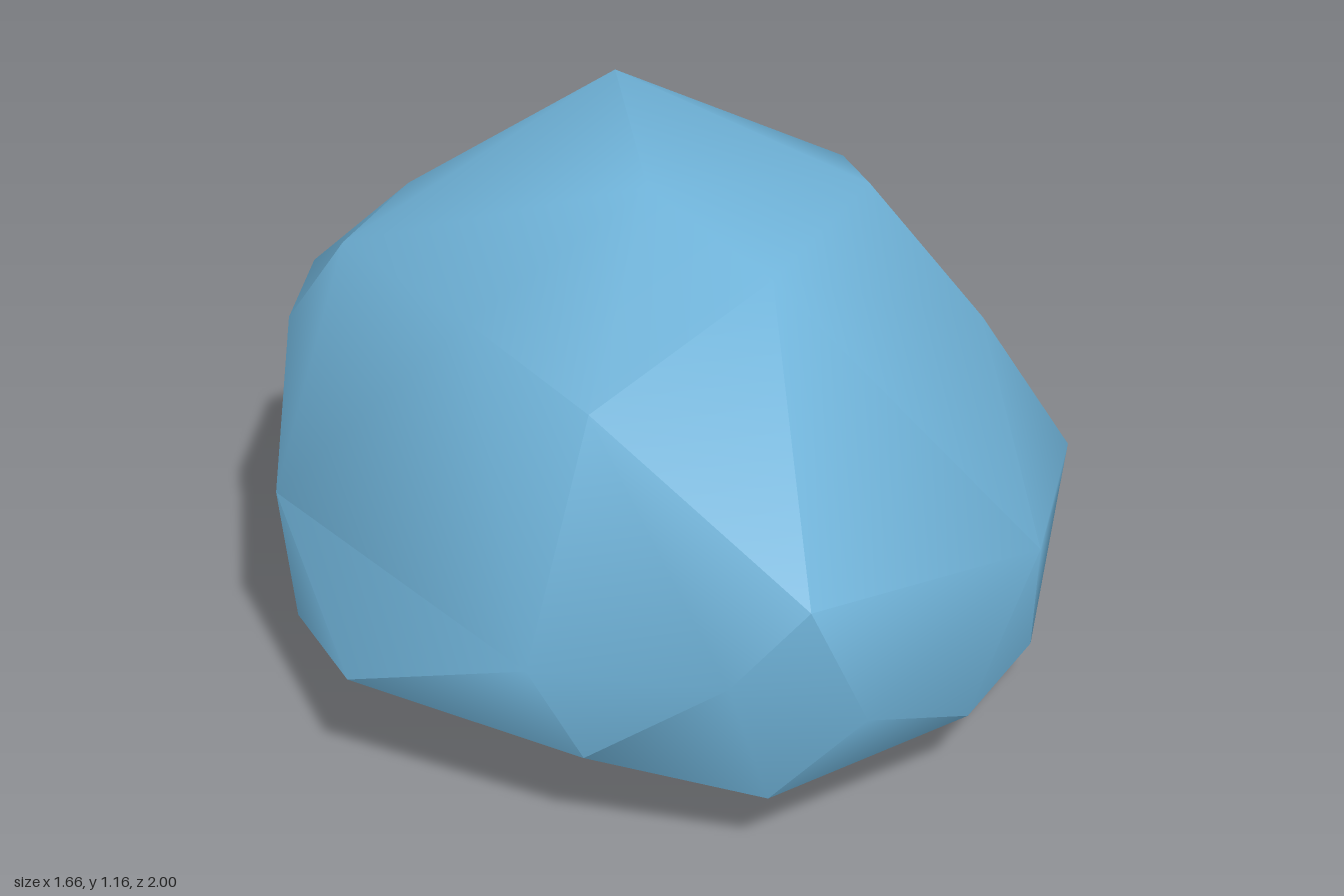
import * as THREE from 'three';
import { toCreasedNormals } from 'three/addons/utils/BufferGeometryUtils.js';
import { ConvexGeometry } from 'three/addons/geometries/ConvexGeometry.js';

// Corners of the boulder, grouped by height
const corners = {
  crown: [[-0.1, 1.165, 0.2], [0.02, 1.145, -0.42], [0.06, 1.08, 0.5]],
  shoulder: [[0.49, 0.95, -0.11], [0.56, 0.85, -0.46], [0.64, 0.75, 0.18], [-0.64, 0.95, -0.17],
    [-0.49, 0.955, 0.26], [-0.35, 0.92, 0.63], [-0.42, 0.9, -0.51], [-0.72, 0.68, -0.39],
    [-0.59, 0.63, -0.74], [0.14, 0.69, -0.97]],
  girth: [[-0.03, 0.64, 1.0], [-0.17, 0.46, 0.94], [-0.5, 0.41, 0.69], [-0.83, 0.45, -0.06],
    [-0.15, 0.42, -1.0], [0.47, 0.56, -0.78], [0.72, 0.36, -0.31], [0.83, 0.31, 0.2],
    [0.83, 0.44, 0.23], [0.57, 0.49, 0.69], [0.11, 0.34, 0.95]],
  foot: [[-0.79, 0.26, 0.39], [-0.4, 0.22, 0.74], [-0.07, 0.155, 0.89], [0.4, 0.17, 0.76],
    [0.67, 0.1, 0.45], [0.19, 0.16, -0.56], [-0.44, 0.25, -0.94], [-0.71, 0.09, -0.66],
    [-0.775, 0.06, -0.19]],
  base: [[0.2, 0, -0.03], [-0.34, 0.01, 0.24], [0, 0.06, 0.55], [0.02, 0.06, -0.44],
    [-0.44, 0.065, -0.5], [0.6, 0.085, 0.14]],
};

// Skins the corners as seen from the middle, so hollows between them are kept
function skin(points) {
  const middle = new THREE.Vector3(0, 0.5, 0);
  const radii = new THREE.Vector3(0.83, 0.58, 1);
  const directions = points.map((p) => p.clone().sub(middle).divide(radii).normalize());
  const geometry = new ConvexGeometry(directions);
  const position = geometry.attributes.position;
  const v = new THREE.Vector3();
  for (let i = 0; i < position.count; i++) {
    v.fromBufferAttribute(position, i);
    const corner = points[directions.findIndex((d) => d.distanceTo(v) < 1e-4)];
    position.setXYZ(i, corner.x, corner.y, corner.z);
  }
  return geometry;
}

export function createModel() {
  const group = new THREE.Group();
  group.name = 'boulder';
  const blueStone = new THREE.MeshStandardMaterial({ color: 0x70b4da });
  blueStone.name = 'blue stone';

  // Faceted stone with softened shallow edges and crisp steep ones
  const points = Object.values(corners).flat().map((p) => new THREE.Vector3(...p));
  const stone = new THREE.Mesh(toCreasedNormals(skin(points), 0.95), blueStone);
  stone.name = 'stone';
  group.add(stone);
  return group;
}
